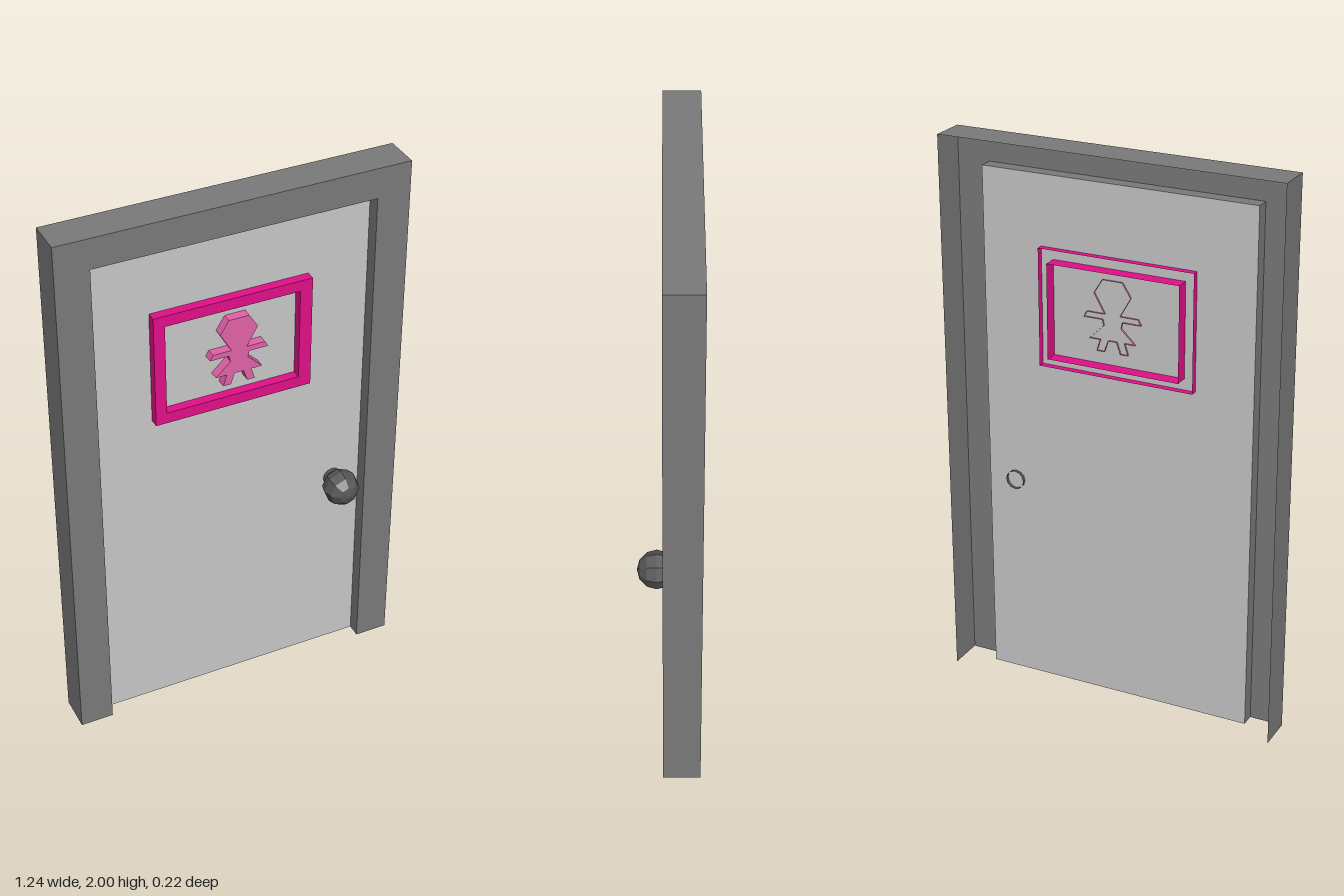
import * as THREE from 'three';

const mat = (name, color) => {
  const m = new THREE.MeshStandardMaterial({ color, side: THREE.DoubleSide, flatShading: true });
  m.name = name;
  return m;
};

// Open band of quads that follows an outline from zFront back to zBack
function band(points, zFront, zBack, closed) {
  const pos = [];
  const count = closed ? points.length : points.length - 1;
  for (let i = 0; i < count; i++) {
    const [ax, ay] = points[i];
    const [bx, by] = points[(i + 1) % points.length];
    pos.push(ax, ay, zFront, bx, by, zFront, bx, by, zBack);
    pos.push(ax, ay, zFront, bx, by, zBack, ax, ay, zBack);
  }
  const geo = new THREE.BufferGeometry();
  geo.setAttribute('position', new THREE.Float32BufferAttribute(pos, 3));
  geo.computeVertexNormals();
  return geo;
}

// Flat face at depth z, with an optional hole
function face(points, z, hole) {
  const toVec = (list) => list.map(([x, y]) => new THREE.Vector2(x, y));
  const shape = new THREE.Shape(toVec(points));
  if (hole) shape.holes.push(new THREE.Path(toVec(hole)));
  return new THREE.ShapeGeometry(shape).translate(0, 0, z);
}

// Corners clockwise from the lower left
const rect = (x0, y0, x1, y1) => [[x0, y0], [x0, y1], [x1, y1], [x1, y0]];

export function createModel() {
  const model = new THREE.Group();
  const frameGrey = mat('frame grey', 0x7a7a7a);
  const doorGrey = mat('door grey', 0xc8c8c8);
  const knobGrey = mat('knob dark grey', 0x565656);
  const signPink = mat('sign pink', 0xe20f88);
  const figurePink = mat('figure light pink', 0xe262a8);

  const group = (name) => {
    const g = new THREE.Group();
    g.name = name;
    model.add(g);
    return g;
  };
  const add = (parent, name, geo, material) => {
    const mesh = new THREE.Mesh(geo, material);
    mesh.name = name;
    parent.add(mesh);
    return mesh;
  };

  const zFrame = 0.02, zDoor = -0.03, zSign = 0.004;

  // Door frame: hollow shell, open at the back and bottom
  const outer = rect(-0.62, 0, 0.62, 2);
  const inner = rect(-0.5, 0, 0.5, 1.89);
  const frame = group('doorFrame');
  add(frame, 'frameFront', face([...outer, ...[...inner].reverse()], zFrame), frameGrey);
  add(frame, 'frameOuterWall', band(outer, zFrame, -0.11, false), frameGrey);
  add(frame, 'frameReveal', band(inner, zFrame, zDoor, false), frameGrey);

  // Door panel
  add(model, 'doorPanel', face(inner, zDoor), doorGrey);

  // Sign border, its walls pass through the door
  const signOuter = rect(-0.29, 1.22, 0.28, 1.64);
  const signInner = rect(-0.25, 1.26, 0.235, 1.6);
  const sign = group('signBorder');
  add(sign, 'signFront', face(signOuter, zSign, signInner), signPink);
  add(sign, 'signOuterWall', band(signOuter, zSign, -0.055, true), signPink);
  add(sign, 'signInnerWall', band(signInner, zSign, -0.08, true), signPink);

  // Figure on the sign: right half from head to legs, mirrored about its own axis
  const axis = 0.013;
  const half = [
    [0.037, 1.56], [0.068, 1.51], [0.028, 1.44], [0.095, 1.44], [0.106, 1.42],
    [0.037, 1.42], [0.032, 1.398], [0.085, 1.347], [0.045, 1.347], [0.058, 1.306],
    [0.03, 1.306], [0.016, 1.347],
  ];
  const outline = [
    ...half.map(([x, y]) => [axis + x, y]),
    ...[...half].reverse().map(([x, y]) => [axis - x, y]),
  ];
  const figure = group('signFigure');
  add(figure, 'figureFront', face(outline, zSign), figurePink);
  add(figure, 'figureWall', band(outline, zSign, -0.037, true), figurePink);

  // Knob with an open stem through the door
  const knob = group('doorKnob');
  knob.position.set(0.395, 0.76, 0);
  add(knob, 'knobBall', new THREE.SphereGeometry(0.066, 8, 6).rotateX(Math.PI / 2).translate(0, 0, 0.04), knobGrey);
  add(knob, 'knobStem',
    new THREE.CylinderGeometry(0.034, 0.034, 0.06, 12, 1, true).rotateX(Math.PI / 2).translate(0, 0, -0.012), knobGrey);

  return model;
}
